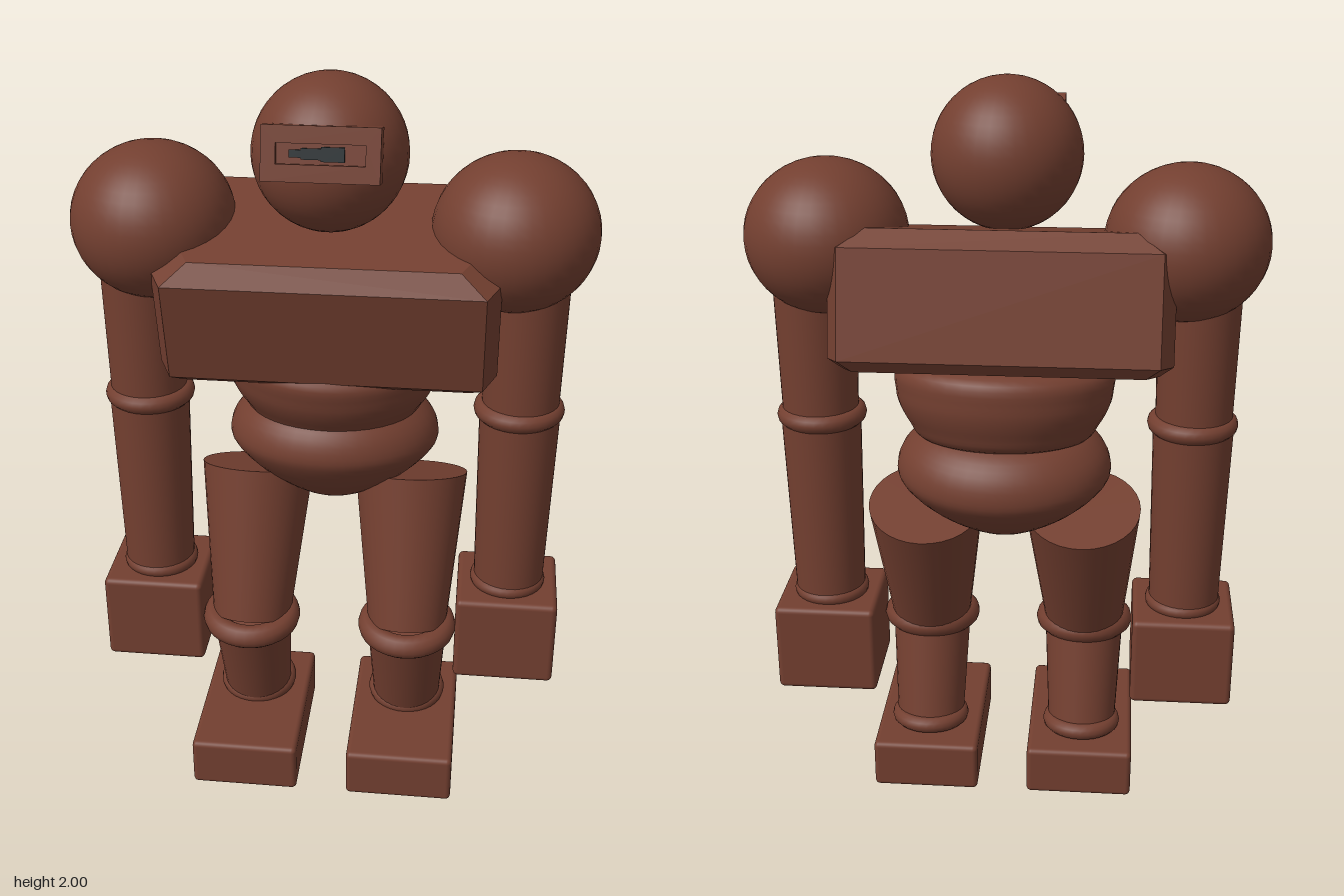
import * as THREE from 'three';
import { RoundedBoxGeometry } from 'three/addons/geometries/RoundedBoxGeometry.js';
import { ConvexGeometry } from 'three/addons/geometries/ConvexGeometry.js';

export function createModel() {
  const model = new THREE.Group();
  const clay = new THREE.MeshStandardMaterial({ color: 0x733f30 });
  clay.name = 'clayBrown';
  const dark = new THREE.MeshStandardMaterial({ color: 0x262d30 });
  dark.name = 'darkEye';

  function add(parent, name, geometry, x, y, z, material = clay) {
    const mesh = new THREE.Mesh(geometry, material);
    mesh.name = name;
    mesh.position.set(x, y, z);
    parent.add(mesh);
    return mesh;
  }

  // Tapered limb segment running between two joints
  function limb(parent, name, from, to, rFrom, rTo) {
    const a = new THREE.Vector3(...from), b = new THREE.Vector3(...to);
    const dir = b.clone().sub(a);
    const mid = a.clone().add(b).multiplyScalar(0.5);
    const mesh = add(parent, name, new THREE.CylinderGeometry(rTo, rFrom, dir.length(), 32), mid.x, mid.y, mid.z);
    mesh.quaternion.setFromUnitVectors(new THREE.Vector3(0, 1, 0), dir.normalize());
  }

  // Soft ring around a joint
  function ring(parent, name, x, y, z, radius, tube, tilt = 0) {
    const geometry = new THREE.TorusGeometry(radius, tube, 12, 32).rotateX(Math.PI / 2);
    add(parent, name, geometry, x, y, z).rotation.x = tilt;
  }

  // Rounded lump turned from a smooth profile, flattened front to back
  function lump(name, profile, y, z, depth, tilt) {
    const curve = new THREE.SplineCurve(profile.map(([r, h]) => new THREE.Vector2(r, h)));
    const points = curve.getPoints(28).map((p) => new THREE.Vector2(Math.max(0, p.x), p.y));
    const mesh = add(model, name, new THREE.LatheGeometry(points, 40), 0, y, z);
    mesh.scale.z = depth;
    mesh.rotation.x = tilt;
  }

  // Head
  add(model, 'head', new THREE.SphereGeometry(0.195, 36, 24), 0, 1.805, 0.045);

  // Visor: framed slot with a recessed eye
  const visor = new THREE.Group();
  visor.name = 'visor';
  visor.position.set(0, 1.853, 0.218);
  visor.rotation.x = -0.25;
  model.add(visor);
  const frame = new THREE.Shape();
  const slot = new THREE.Path();
  const rect = (path, w, h) => path.moveTo(-w, -h).lineTo(w, -h).lineTo(w, h).lineTo(-w, h).closePath();
  rect(frame, 0.14, 0.065);
  rect(slot, 0.105, 0.024);
  frame.holes.push(slot);
  add(visor, 'visorFrame', new THREE.ExtrudeGeometry(frame, { depth: 0.018, bevelEnabled: false }), 0, 0, 0.02);
  add(visor, 'visorBack', new THREE.BoxGeometry(0.28, 0.13, 0.058), 0, 0, -0.009);
  add(visor, 'eyeLeft', new THREE.BoxGeometry(0.055, 0.034, 0.009), 0.028, 0, 0.025, dark);
  add(visor, 'eyeMiddle', new THREE.BoxGeometry(0.05, 0.026, 0.007), -0.022, 0, 0.024, dark);
  add(visor, 'eyeRight', new THREE.BoxGeometry(0.03, 0.018, 0.006), -0.06, 0, 0.023, dark);

  // Chest: chamfered block leaning forward
  const chestPoints = [];
  const levels = [
    [-0.178, 0.4, 0.215], [-0.15, 0.435, 0.243],
    [0.13, 0.435, 0.243], [0.178, 0.37, 0.2],
  ];
  for (const [y, w, d] of levels) {
    for (const sx of [-1, 1]) {
      for (const sz of [-1, 1]) {
        chestPoints.push(new THREE.Vector3(sx * (w - 0.035), y, sz * d));
        chestPoints.push(new THREE.Vector3(sx * w, y, sz * (d - 0.07)));
      }
    }
  }
  add(model, 'chest', new ConvexGeometry(chestPoints), 0, 1.442, -0.017).rotation.x = 0.23;

  // Waist and pelvis
  lump('waist', [[0, -0.13], [0.2, -0.12], [0.255, -0.07], [0.287, 0.01], [0.26, 0.09], [0, 0.13]], 1.19, -0.05, 0.83, 0.12);
  lump('pelvis', [[0, -0.18], [0.08, -0.175], [0.19, -0.11], [0.265, -0.04], [0.287, 0.01],
    [0.26, 0.075], [0.18, 0.125], [0, 0.145]], 0.985, -0.062, 0.85, -0.08);

  for (const side of [-1, 1]) {
    const label = side > 0 ? 'left' : 'right';

    // Arm
    const arm = new THREE.Group();
    arm.name = label + 'Arm';
    model.add(arm);
    const shoulder = add(arm, 'shoulder', new THREE.SphereGeometry(1, 36, 24), side * 0.463, 1.597, -0.01);
    shoulder.scale.set(0.213, 0.201, 0.219);
    limb(arm, 'upperArm', [side * 0.503, 1.1, -0.008], [side * 0.503, 1.5, -0.008], 0.102, 0.11);
    ring(arm, 'elbowRing', side * 0.5, 1.105, -0.008, 0.095, 0.026);
    limb(arm, 'forearm', [side * 0.5, 0.54, -0.006], [side * 0.503, 1.1, -0.008], 0.096, 0.108);
    ring(arm, 'wristRing', side * 0.498, 0.572, -0.006, 0.085, 0.02);
    add(arm, 'hand', new RoundedBoxGeometry(0.28, 0.255, 0.275, 3, 0.015), side * 0.498, 0.434, -0.007);

    // Leg
    const leg = new THREE.Group();
    leg.name = label + 'Leg';
    model.add(leg);
    limb(leg, 'thigh', [side * 0.222, 0.45, 0.08], [side * 0.215, 0.866, -0.063], 0.11, 0.156);
    ring(leg, 'kneeRing', side * 0.222, 0.45, 0.085, 0.105, 0.033, 0.08);
    limb(leg, 'shin', [side * 0.222, 0.13, -0.008], [side * 0.222, 0.45, 0.08], 0.095, 0.112);
    ring(leg, 'ankleRing', side * 0.222, 0.16, -0.008, 0.088, 0.023, 0.1);
    add(leg, 'foot', new RoundedBoxGeometry(0.298, 0.142, 0.472, 3, 0.014), side * 0.22, 0.072, 0.071);
  }
  return model;
}
